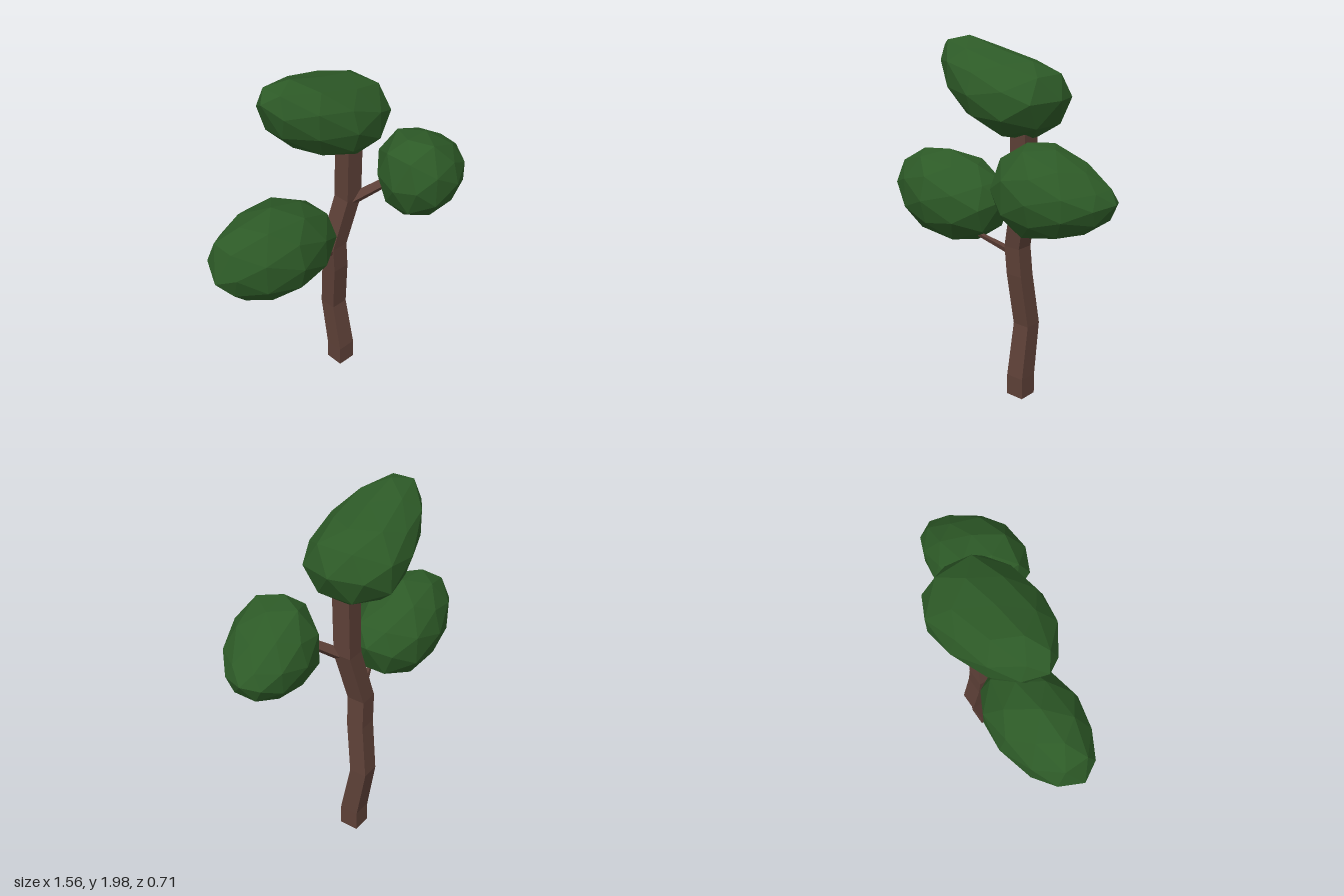
import * as THREE from 'three';

const bark = new THREE.MeshStandardMaterial({ color: 0x5d4037 });
bark.name = 'bark brown';
const leaf = new THREE.MeshStandardMaterial({ color: 0x2d5a27 });
leaf.name = 'leaf green';

// Faceted mesh: unshared corners give one normal per face
function facetedMesh(name, geometry, material) {
  const flat = geometry.index ? geometry.toNonIndexed() : geometry;
  flat.computeVertexNormals();
  const mesh = new THREE.Mesh(flat, material);
  mesh.name = name;
  return mesh;
}

// Square trunk bent along a path of [x, y, z, width] rings
function makeTrunk(path) {
  const last = path.length - 1;
  const geometry = new THREE.BoxGeometry(1, 1, 1, 1, last, 1);
  const pos = geometry.attributes.position;
  for (let i = 0; i < pos.count; i++) {
    const [x, y, z, w] = path[Math.round((pos.getY(i) + 0.5) * last)];
    pos.setXYZ(i, x + pos.getX(i) * w, y, z + pos.getZ(i) * w);
  }
  return facetedMesh('trunk', geometry, bark);
}

// Tapered four-sided branch between two points
function makeBranch(name, from, to, r0, r1) {
  const a = new THREE.Vector3(...from);
  const b = new THREE.Vector3(...to);
  const dir = b.clone().sub(a);
  const geometry = new THREE.CylinderGeometry(r1, r0, dir.length(), 4);
  geometry.rotateY(Math.PI / 4);
  const mesh = facetedMesh(name, geometry, bark);
  mesh.quaternion.setFromUnitVectors(new THREE.Vector3(0, 1, 0), dir.normalize());
  mesh.position.copy(a).add(b).multiplyScalar(0.5);
  return mesh;
}

// Low-poly ball stretched to fill stations of [x, bottom, top, back, front]
function makeFoliage(name, stations) {
  const geometry = new THREE.IcosahedronGeometry(1, 1);
  const pos = geometry.attributes.position;
  const x0 = stations[0][0];
  const x1 = stations[stations.length - 1][0];
  for (let i = 0; i < pos.count; i++) {
    const p = new THREE.Vector3().fromBufferAttribute(pos, i);
    const x = THREE.MathUtils.clamp(x0 + (x1 - x0) * (p.x + 1) / 2, x0, x1);
    let k = 0;
    while (k < stations.length - 2 && x > stations[k + 1][0]) k++;
    const a = stations[k];
    const b = stations[k + 1];
    const t = (x - a[0]) / (b[0] - a[0]);
    const [, bottom, top, back, front] = a.map((v, j) => v + (b[j] - v) * t);
    const r = Math.max(Math.hypot(p.y, p.z), 1e-6);
    pos.setXYZ(i, x,
      (bottom + top) / 2 + (p.y / r) * (top - bottom) / 2,
      (back + front) / 2 + (p.z / r) * (front - back) / 2);
  }
  return facetedMesh(name, geometry, leaf);
}

export function createModel() {
  const tree = new THREE.Group();
  tree.name = 'tree';

  tree.add(makeTrunk([
    [0.09, 0, -0.115, 0.108],
    [0.09, 0.12, -0.115, 0.108],
    [0.085, 0.42, -0.167, 0.1],
    [0.063, 0.72, -0.13, 0.1],
    [0.05, 0.88, -0.125, 0.1],
    [0.124, 1.18, -0.09, 0.1],
    [0.12, 1.53, -0.08, 0.1],
  ]));

  tree.add(makeBranch('rightBranch', [0.04, 0.84, -0.11], [-0.22, 0.95, -0.02], 0.022, 0.01));
  tree.add(makeBranch('leftBranch', [0.12, 1.15, -0.08], [0.32, 1.31, 0.1], 0.036, 0.026));

  tree.add(makeFoliage('topFoliage', [
    [-0.43, 1.92, 1.92, -0.08, -0.08],
    [-0.4, 1.77, 1.96, -0.16, -0.02],
    [-0.3, 1.66, 2.0, -0.26, 0.09],
    [-0.1, 1.53, 1.94, -0.33, 0.17],
    [0.1, 1.47, 1.89, -0.375, 0.15],
    [0.2, 1.49, 1.865, -0.345, 0.12],
    [0.29, 1.57, 1.825, -0.27, 0.05],
    [0.33, 1.7, 1.7, -0.12, -0.12],
  ]));

  tree.add(makeFoliage('rightFoliage', [
    [-0.78, 1.09, 1.09, -0.07, -0.07],
    [-0.74, 1.02, 1.26, -0.19, 0.02],
    [-0.62, 0.88, 1.33, -0.27, 0.1],
    [-0.45, 0.86, 1.365, -0.32, 0.165],
    [-0.3, 0.84, 1.335, -0.34, 0.15],
    [-0.13, 0.89, 1.26, -0.28, 0.1],
    [-0.05, 1.0, 1.18, -0.18, 0],
    [-0.03, 1.12, 1.12, -0.1, -0.1],
  ]));

  tree.add(makeFoliage('leftFoliage', [
    [0.18, 1.3, 1.3, 0.18, 0.18],
    [0.21, 1.18, 1.47, 0.05, 0.29],
    [0.28, 1.08, 1.515, -0.06, 0.345],
    [0.38, 1.06, 1.56, -0.105, 0.375],
    [0.56, 1.095, 1.485, -0.12, 0.35],
    [0.7, 1.155, 1.38, -0.07, 0.23],
    [0.77, 1.24, 1.325, -0.01, 0.12],
    [0.78, 1.29, 1.29, 0.05, 0.05],
  ]));

  return tree;
}
